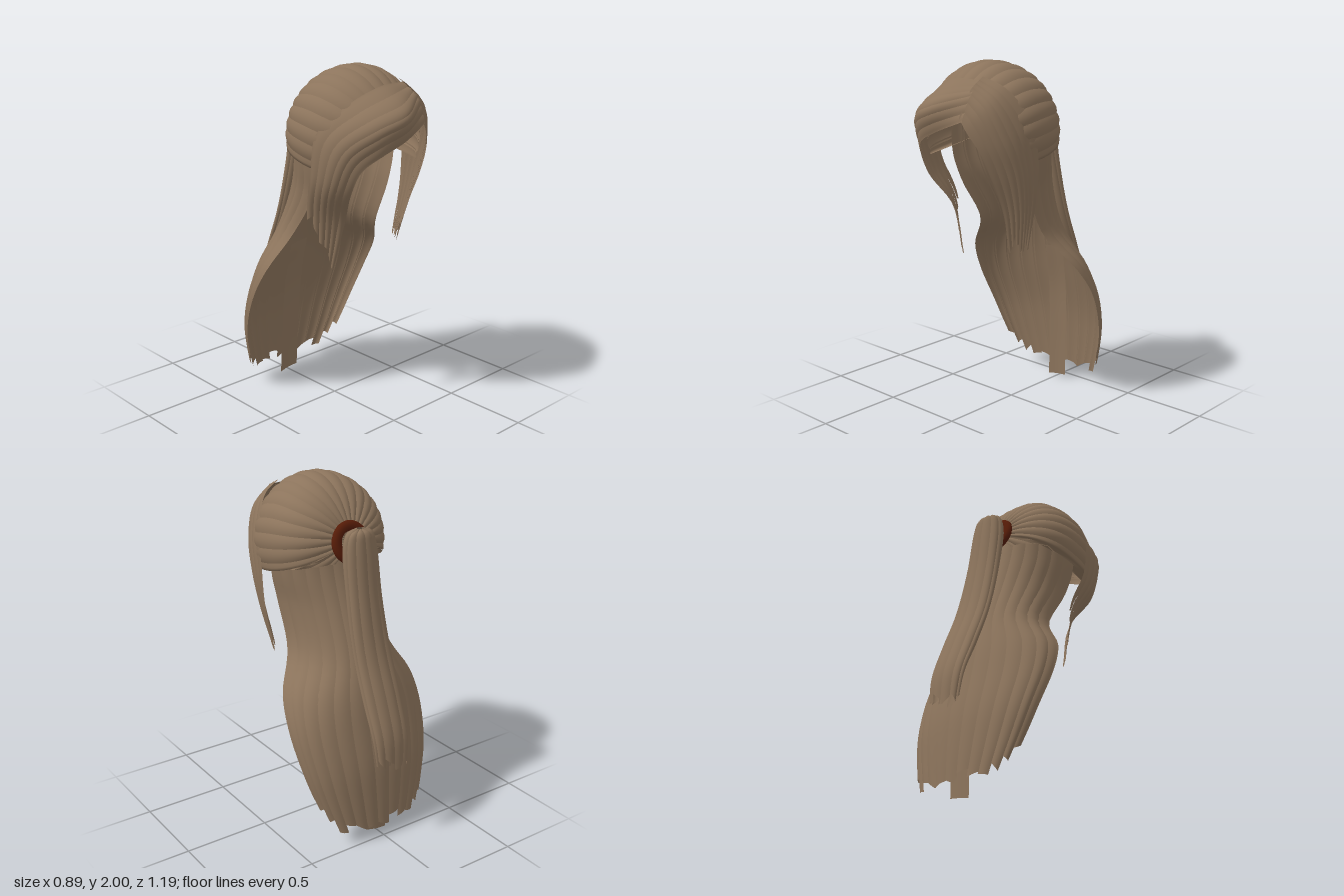
import * as THREE from 'three';

const V = (x, y, z) => new THREE.Vector3(x, y, z);
const clamp01 = (t) => Math.min(1, Math.max(0, t));

// Seeded random for the ragged tips
function makeRandom(seed) {
  return () => (seed = (seed * 16807) % 2147483647) / 2147483647;
}

// Smooth surface through rows of control points: u runs across a row, v from row to row
function patch(rows) {
  const curves = rows.map((r) => new THREE.CatmullRomCurve3(r));
  return (u, v) =>
    new THREE.CatmullRomCurve3(curves.map((c) => c.getPoint(clamp01(u)))).getPoint(clamp01(v));
}

// Covers a surface with n overlapping, slightly arched locks of hair
function locks(surface, n, { bulge = 0.007, nv = 20, taper = 0.3, ragged = 0.04, overlap = 0.2, end = () => 1, seed = 7 }) {
  const rnd = makeRandom(seed), ns = 6, e = 0.004, pos = [], idx = [];
  for (let i = 0; i < n; i++) {
    const mid = (i + 0.5) / n;
    const len = end(mid) - ragged * rnd();
    const slant = ragged * (rnd() - 0.5);
    const base = pos.length / 3;
    for (let j = 0; j <= nv; j++) {
      for (let k = 0; k <= ns; k++) {
        const s = k / ns, t = j / nv;
        const width = ((1 + overlap) / n) * (1 - taper * t ** 6);
        const u = mid + (s - 0.5) * width;
        const v = t * (len + slant * (s - 0.5) * 2);
        const du = surface(u + e, v).sub(surface(u - e, v));
        const dv = surface(u, v + e).sub(surface(u, v - e));
        const normal = du.cross(dv).normalize();
        const p = surface(u, v).addScaledVector(normal, bulge * (Math.sin(Math.PI * s) - 0.5));
        pos.push(p.x, p.y, p.z);
        if (j < nv && k < ns) {
          const a = base + j * (ns + 1) + k, b = a + ns + 1;
          idx.push(a, a + 1, b, a + 1, b + 1, b);
        }
      }
    }
  }
  const g = new THREE.BufferGeometry();
  g.setAttribute('position', new THREE.Float32BufferAttribute(pos, 3));
  g.setIndex(idx);
  g.computeVertexNormals();
  return g;
}

// Hair combed over the skull towards the tie, ending at the hairline
function capSurface() {
  const centre = V(0, 1.617, 0.17), radii = V(0.362, 0.38, 0.335);
  const pole = V(0, 0.16, -0.987).normalize();
  const e1 = V(0, 0.987, 0.16).normalize();
  const e2 = e1.clone().cross(pole);
  const at = (phi, theta) => {
    const d = pole.clone().multiplyScalar(Math.cos(theta))
      .addScaledVector(e1, Math.cos(phi) * Math.sin(theta))
      .addScaledVector(e2, Math.sin(phi) * Math.sin(theta));
    if (d.z < 0) { // squarer towards the back of the head
      const k = Math.hypot(d.x, d.z) / (Math.abs(d.x) ** 2.6 + Math.abs(d.z) ** 2.6) ** (1 / 2.6);
      d.x *= k;
      d.z *= k;
    }
    return d.multiply(radii).add(centre);
  };
  const covered = (p) => p.y > 1.47 + 0.3 * Math.max(0, 0.17 - p.z) && p.z < 0.41;
  return (u, v) => {
    const phi = u * Math.PI * 2;
    let edge = 0.2;
    while (edge < 3 && covered(at(phi, edge))) edge += 0.02;
    return at(phi, 0.1 + (edge - 0.1) * clamp01(v));
  };
}

export function createModel() {
  const group = new THREE.Group();
  const hair = new THREE.MeshStandardMaterial({ color: 0x8c745c, side: THREE.DoubleSide });
  hair.name = 'brown hair';
  const band = new THREE.MeshStandardMaterial({ color: 0x561c08 });
  band.name = 'dark red band';
  const add = (name, geometry, material = hair) => {
    const mesh = new THREE.Mesh(geometry, material);
    mesh.name = name;
    group.add(mesh);
    return mesh;
  };

  add('crown', locks(capSurface(), 28, { bulge: 0.009, nv: 18, taper: 0, ragged: 0.01 }));

  // Swept fringe, running from the parting into the right side lock
  const fringe = [
    [V(0.15, 1.71, 0.54), V(0.155, 1.84, 0.48), V(0.15, 1.91, 0.37)],
    [V(-0.03, 1.64, 0.57), V(-0.04, 1.78, 0.59), V(-0.05, 1.91, 0.4)],
    [V(-0.16, 1.58, 0.54), V(-0.2, 1.72, 0.54), V(-0.23, 1.83, 0.35)],
    [V(-0.24, 1.5, 0.47), V(-0.315, 1.6, 0.41), V(-0.35, 1.68, 0.24)],
    [V(-0.25, 1.37, 0.4), V(-0.33, 1.4, 0.32), V(-0.36, 1.45, 0.2)],
    [V(-0.18, 1.18, 0.28), V(-0.26, 1.18, 0.21), V(-0.32, 1.22, 0.12)],
    [V(-0.19, 0.89, 0.2), V(-0.24, 0.89, 0.16), V(-0.29, 0.92, 0.1)],
  ];
  add('fringe', locks(patch(fringe), 6, {
    bulge: 0.005, nv: 32, taper: 0.35, ragged: 0.05, end: (u) => 1 - 0.17 * u ** 2, seed: 11,
  }));

  // Left side lock, from the parting down past the cheek
  const sideLock = [
    [V(0.13, 1.93, 0.36), V(0.14, 1.87, 0.46), V(0.13, 1.73, 0.54)],
    [V(0.25, 1.87, 0.31), V(0.25, 1.78, 0.44), V(0.17, 1.66, 0.53)],
    [V(0.345, 1.7, 0.22), V(0.315, 1.62, 0.39), V(0.22, 1.56, 0.49)],
    [V(0.36, 1.5, 0.18), V(0.34, 1.45, 0.32), V(0.245, 1.42, 0.43)],
    [V(0.345, 1.28, 0.18), V(0.325, 1.25, 0.27), V(0.25, 1.22, 0.34)],
    [V(0.29, 0.99, 0.18), V(0.27, 0.98, 0.22), V(0.23, 0.98, 0.27)],
  ];
  add('sideLock', locks(patch(sideLock), 7, { bulge: 0.005, nv: 28, taper: 0.3, ragged: 0.06, seed: 23 }));

  // Long loose hair, open to the front: [height, half width, front z, back z, right edge set back]
  const backRows = [
    [1.59, 0.33, 0.14, -0.17, 0], [1.47, 0.31, 0.16, -0.195, 0], [1.3, 0.28, 0.15, -0.24, 0.03],
    [1.05, 0.285, 0.05, -0.32, 0.09], [0.85, 0.41, -0.09, -0.38, 0.03], [0.68, 0.445, -0.2, -0.42, 0],
    [0.45, 0.42, -0.3, -0.47, 0], [0.25, 0.365, -0.36, -0.49, 0], [0.07, 0.3, -0.41, -0.5, 0],
  ].map(([y, w, front, back, setBack], row) => Array.from({ length: 9 }, (_, i) => {
    const t = (i / 8 - 0.5) * Math.PI;
    const lift = row === 0 ? 0.12 * Math.sin(t) ** 2 : 0;
    const edge = front - setBack * Math.max(0, -Math.sin(t)) ** 2;
    return V(w * Math.sin(t), y + lift, edge + (back - front) * Math.cos(t));
  }));
  add('backHair', locks(patch(backRows), 13, {
    nv: 32, taper: 0.1, ragged: 0.04, end: (u) => 1 - 0.18 * Math.abs(2 * u - 1) ** 7, seed: 5,
  }));

  // Flat strand hanging inside the loose hair
  const strand = [[0.87, 0.03, -0.35], [0.6, 0.02, -0.4], [0.3, 0.01, -0.42], [0.01, 0, -0.43]]
    .map(([y, x, z]) => [V(x - 0.065, y - 0.01, z), V(x, y, z - 0.005), V(x + 0.065, y + 0.01, z)]);
  add('innerStrand', locks(patch(strand), 1, { bulge: 0.004, taper: 0, ragged: 0 }));

  // Ponytail: [height, half width, centre z, half depth]
  const tailRows = [
    [1.765, 0.02, -0.238, 0.015], [1.745, 0.075, -0.238, 0.043], [1.68, 0.1, -0.238, 0.058],
    [1.4, 0.112, -0.282, 0.053], [1.1, 0.12, -0.36, 0.046], [0.85, 0.122, -0.46, 0.046],
    [0.65, 0.115, -0.54, 0.036], [0.47, 0.1, -0.565, 0.027],
  ].map(([y, w, z, d]) => Array.from({ length: 13 }, (_, i) => {
    const t = (i / 12 - 0.5) * Math.PI * 2;
    return V(w * Math.sin(t), y, z - d * Math.cos(t));
  }));
  add('ponytail', locks(patch(tailRows), 10, { nv: 28, taper: 0.15, ragged: 0.05, seed: 31 }));

  // Flattened hair tie around the root of the ponytail
  const tie = add('hairTie', new THREE.TorusGeometry(0.09, 0.03, 12, 40), band);
  tie.position.set(0.008, 1.672, -0.165);
  tie.rotation.x = 0.25;
  tie.scale.z = 0.75;

  return group;
}
